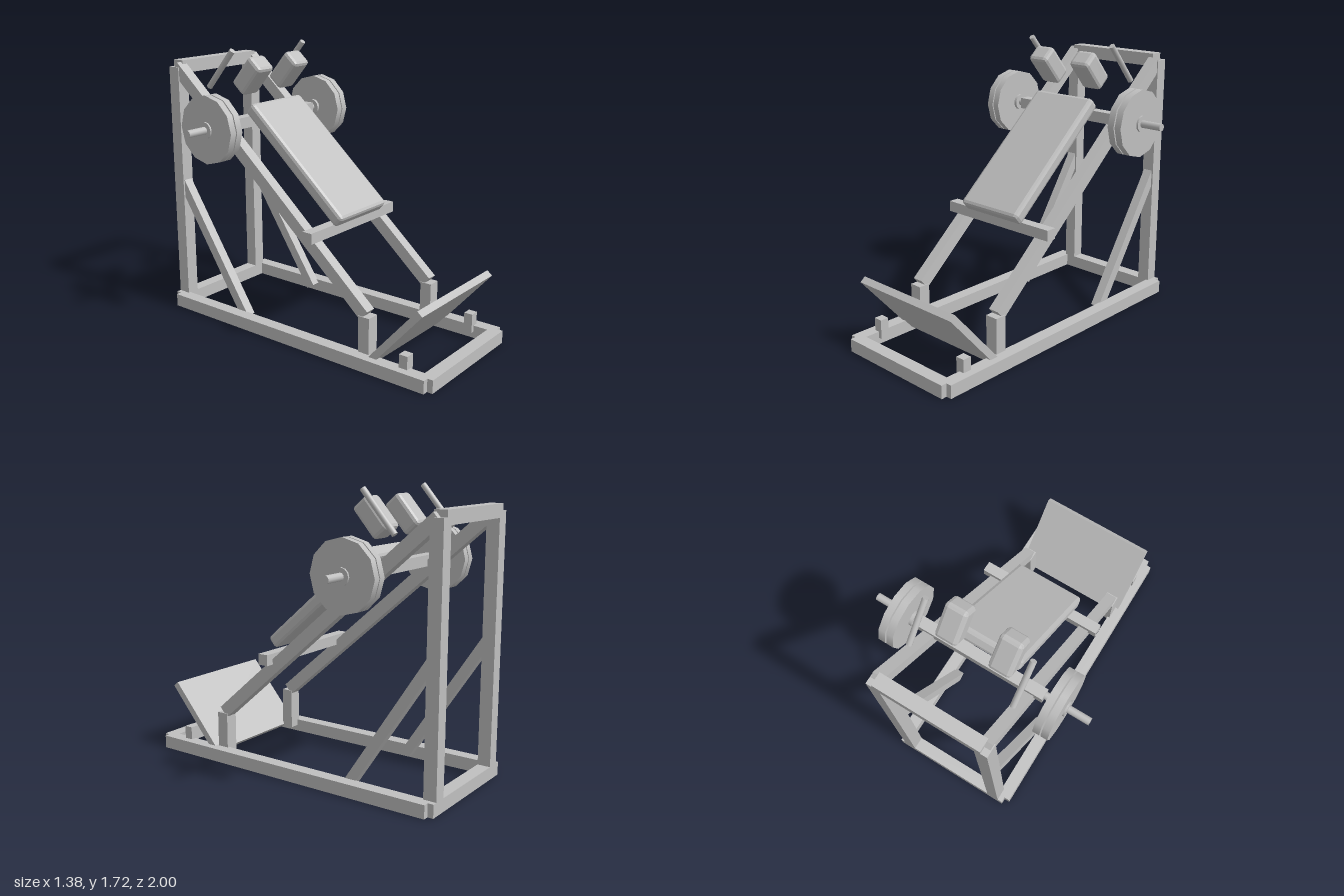
import * as THREE from 'three';
import { RoundedBoxGeometry } from 'three/addons/geometries/RoundedBoxGeometry.js';

const TILT = 0.715; // slope of the sled rails, about 41 degrees

export function createModel() {
  const model = new THREE.Group();
  model.name = 'slidingSquatMachine';
  const steel = new THREE.MeshStandardMaterial({ color: 0xc0c0c0 });
  steel.name = 'lightGrey';

  const add = (name, geometry, x, y, z, tilt = 0) => {
    const mesh = new THREE.Mesh(geometry, steel);
    mesh.name = name;
    mesh.position.set(x, y, z);
    mesh.rotation.x = tilt;
    model.add(mesh);
    return mesh;
  };
  const box = (name, w, h, d, x, y, z, tilt) =>
    add(name, new THREE.BoxGeometry(w, h, d), x, y, z, tilt);

  // Straight bar in the side plane, from (y0, z0) to (y1, z1)
  const bar = (name, x, w, d, [y0, z0], [y1, z1]) =>
    box(name, w, Math.hypot(y1 - y0, z1 - z0), d, x,
      (y0 + y1) / 2, (z0 + z1) / 2, Math.atan2(z1 - z0, y1 - y0));

  // Cushion with chamfered edges
  const cushion = (name, w, h, d, x, y, z) => {
    const geometry = new RoundedBoxGeometry(w, h, d, 1, 0.022);
    geometry.computeVertexNormals();
    return add(name, geometry, x, y, z, TILT);
  };

  // Round part lying along x, between x0 and x1
  const disc = (name, r, x0, x1, s) => {
    const geometry = new THREE.CylinderGeometry(r, r, x1 - x0, 12);
    geometry.rotateZ(Math.PI / 2);
    add(name, geometry, s * (x0 + x1) / 2, 1.267, -0.507);
  };

  // Cross members of the frame
  box('baseFrontBar', 0.79, 0.08, 0.08, 0, 0.04, 0.96);
  box('baseBackBar', 0.79, 0.08, 0.08, 0, 0.04, -0.96);
  box('topBar', 0.65, 0.08, 0.08, 0, 1.58, -0.96);

  // Foot plate
  bar('footPlate', 0, 0.77, 0.042, [0.04, 0.56], [0.43, 0.899]);

  // Sled
  box('sledUpperBar', 0.82, 0.068, 0.068, 0, 1.267, -0.512);
  box('sledLowerBar', 0.82, 0.066, 0.066, 0, 0.702, 0.145);
  cushion('backPad', 0.455, 0.085, 0.92, 0, 1.059, -0.117);

  for (const s of [1, -1]) {
    const side = s > 0 ? 'left' : 'right';

    // Frame
    box(side + 'BaseRail', 0.08, 0.08, 1.93, s * 0.39, 0.04, 0);
    bar(side + 'Upright', s * 0.325, 0.08, 0.08, [0.04, -0.96], [1.58, -0.96]);
    bar(side + 'FrontPost', s * 0.325, 0.08, 0.075, [0.04, 0.517], [0.3, 0.517]);
    bar(side + 'SledRail', s * 0.325, 0.068, 0.077, [0.305, 0.512], [1.58, -0.96]);
    bar(side + 'Brace', s * 0.325, 0.06, 0.062, [0.04, -0.416], [0.86, -0.96]);
    box(side + 'PlateStop', 0.057, 0.12, 0.055, s * 0.355, 0.1, 0.8);

    // Shoulder pads and grips
    cushion(side + 'ShoulderPad', 0.14, 0.228, 0.12, s * 0.166, 1.55, -0.474);
    add(side + 'Handle', new THREE.CylinderGeometry(0.018, 0.018, 0.31, 12),
      s * 0.322, 1.594, -0.59, TILT);

    // Weight peg with two weight discs
    disc(side + 'Peg', 0.023, 0.4, 0.69, s);
    disc(side + 'Hub', 0.05, 0.432, 0.555, s);
    disc(side + 'InnerWeight', 0.206, 0.45, 0.493, s);
    disc(side + 'OuterWeight', 0.206, 0.501, 0.544, s);
  }
  return model;
}
